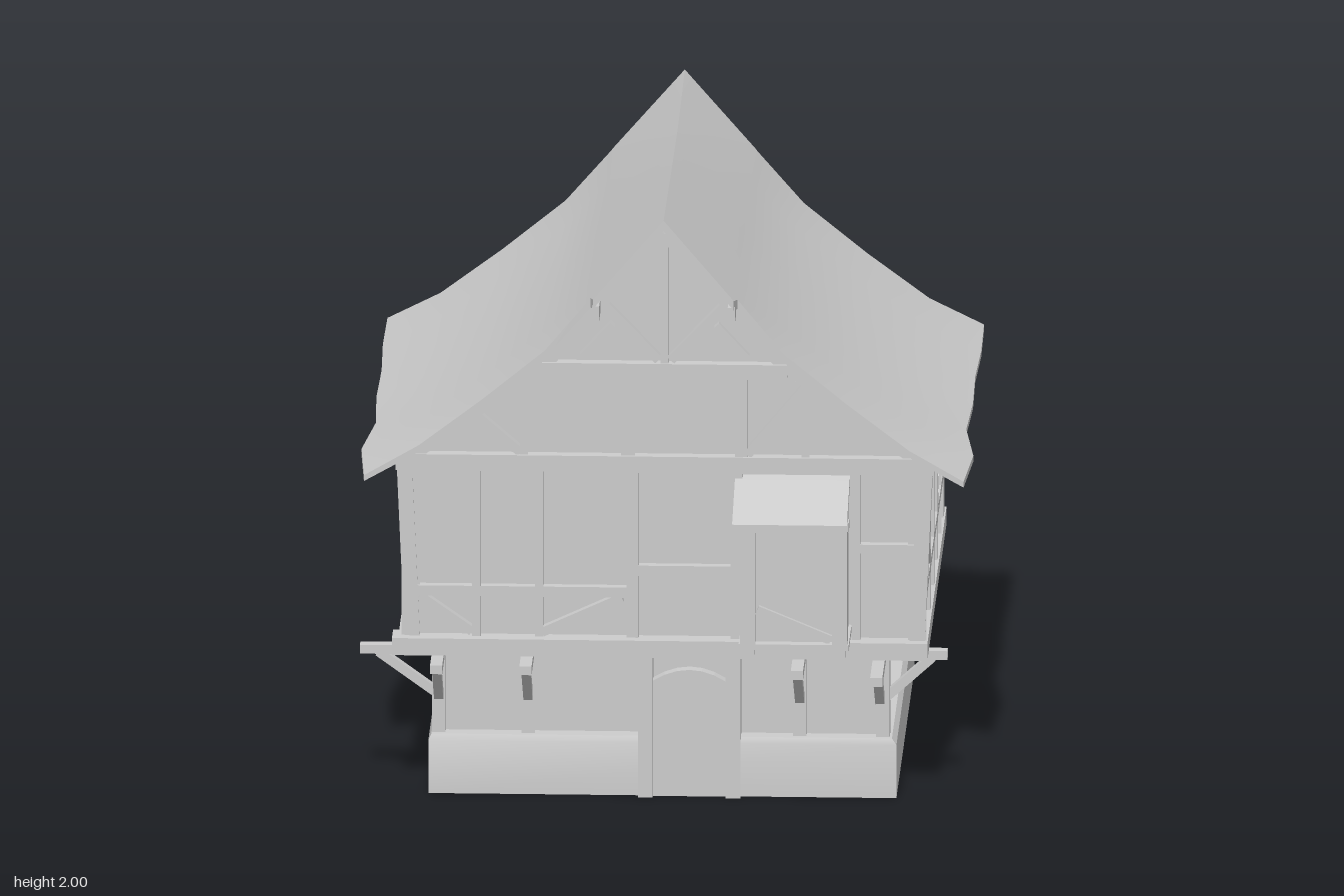
import * as THREE from 'three';
import { toCreasedNormals } from 'three/addons/utils/BufferGeometryUtils.js';

const plaster = new THREE.MeshStandardMaterial({ color: 0xcccccc, side: THREE.DoubleSide });
plaster.name = 'pale grey';

function add(parent, name, geometry) {
  const mesh = new THREE.Mesh(geometry, plaster);
  mesh.name = name;
  parent.add(mesh);
  return mesh;
}

function group(parent, name, x = 0, y = 0, z = 0, turn = 0) {
  const g = new THREE.Group();
  g.name = name;
  g.position.set(x, y, z);
  g.rotation.y = turn;
  parent.add(g);
  return g;
}

// Box given by its limits
function box(parent, name, x0, x1, y0, y1, z0, z1) {
  const mesh = add(parent, name, new THREE.BoxGeometry(x1 - x0, y1 - y0, z1 - z0));
  mesh.position.set((x0 + x1) / 2, (y0 + y1) / 2, (z0 + z1) / 2);
  return mesh;
}

// Timber between two points in the xy plane of its parent
function bar(parent, name, x0, y0, x1, y1, width = 0.03, depth = 0.06, z = 0) {
  const length = Math.hypot(x1 - x0, y1 - y0);
  const mesh = add(parent, name, new THREE.BoxGeometry(length, width, depth));
  mesh.position.set((x0 + x1) / 2, (y0 + y1) / 2, z);
  mesh.rotation.z = Math.atan2(y1 - y0, x1 - x0);
  return mesh;
}

// Open shell through stacked rectangles [x0, x1, z0, z1, y]
function shell(parent, name, rings) {
  const pos = [], index = [];
  for (const [x0, x1, z0, z1, y] of rings) pos.push(x0, y, z1, x1, y, z1, x1, y, z0, x0, y, z0);
  for (let r = 0; r < rings.length - 1; r++) for (let i = 0; i < 4; i++) {
    const a = r * 4 + i, b = r * 4 + (i + 1) % 4;
    index.push(a, b, b + 4, a, b + 4, a + 4);
  }
  const g = new THREE.BufferGeometry();
  g.setAttribute('position', new THREE.Float32BufferAttribute(pos, 3));
  g.setIndex(index);
  return add(parent, name, toCreasedNormals(g, 0.5));
}

// One curved roof slope: profile points are [x, y, front z, back z]
function roofSlope(parent, name, side) {
  const profile = [
    [0, 2, 0.84, -0.92], [0.23, 1.735, 0.86, -0.92], [0.24, 1.722, 0.80, -0.92],
    [0.39, 1.55, 0.83, -0.92], [0.6, 1.38, 0.832, -0.925], [0.81, 1.225, 0.835, -0.94], [1, 1.12, 0.83, -1],
  ];
  const sag = [0, 0.008, 0.018, 0.025, 0.03, 0.02, 0];
  const eave = [-0.02, 0, -0.035, -0.025, -0.03, -0.022, -0.025];
  const n = profile.length, ring = 2 * n, rows = sag.length, pos = [], index = [];
  const quad = (a, b, c, d) => side > 0 ? index.push(a, b, c, a, c, d) : index.push(a, c, b, a, d, c);
  for (let j = 0; j < rows; j++) for (let k = 0; k < ring; k++) {
    const under = k >= n, [x, y, zf, zb] = profile[under ? ring - 1 - k : k];
    const drop = under ? 0.035 - 0.015 * x : 0;
    pos.push(side * (x + eave[j] * x ** 4), y - sag[j] * (1 - x) - drop, THREE.MathUtils.lerp(zf, zb, j / (rows - 1)));
  }
  for (let j = 0; j < rows - 1; j++) for (let k = 0; k < ring; k++) {
    const a = j * ring + k, b = j * ring + (k + 1) % ring;
    quad(a, b, b + ring, a + ring);
    }
  const last = (rows - 1) * ring;
  for (let k = 0; k < n - 1; k++) {
    const o = ring - 1 - k;
    quad(k, o, o - 1, k + 1);
    quad(last + k, last + k + 1, last + o - 1, last + o);
  }
  let g = new THREE.BufferGeometry();
  g.setAttribute('position', new THREE.Float32BufferAttribute(pos, 3));
  g.setIndex(index);
  // Reverse the winding so the tiles face outward
  const ids = g.getIndex().array;
  for (let i = 0; i < ids.length; i += 3) [ids[i + 1], ids[i + 2]] = [ids[i + 2], ids[i + 1]];
  add(parent, name, toCreasedNormals(g, 0.6));
}

// Gable wall with the timber shared by front and back
function gable(parent, name, z, turn) {
  const g = group(parent, name, 0, 0, z, turn);
  const outline = [[-0.82, 0.5], [0.82, 0.5], [0.85, 1.14], [0.39, 1.5], [0, 1.95], [-0.39, 1.5], [-0.85, 1.14]];
  add(g, 'gableWall', new THREE.ShapeGeometry(new THREE.Shape(outline.map(p => new THREE.Vector2(...p)))));
  bar(g, 'tieBeam', -0.88, 1.147, 0.88, 1.147, 0.055, 0.08);
  bar(g, 'collarBeam', -0.4, 1.465, 0.4, 1.465, 0.05, 0.08);
  bar(g, 'kingPost', 0, 1.49, 0, 1.92, 0.026);
  for (const s of [-1, 1]) {
    bar(g, 'cornerPost', s * 0.825, 0.55, s * 0.85, 1.12, 0.05);
    bar(g, 'upperRafter', 0, 1.93, s * 0.39, 1.48, 0.04);
    bar(g, 'lowerRafter', s * 0.37, 1.5, s * 0.86, 1.14, 0.04);
    bar(g, 'gableBrace', s * 0.2, 1.69, s * 0.02, 1.5);
    bar(g, 'shortBrace', s * 0.27, 1.51, s * 0.17, 1.62, 0.02);
    bar(g, 'gablePost', s * 0.46, 1.17, s * 0.46, 1.43, 0.026);
  }
  bar(g, 'gablePost', -0.12, 1.17, -0.12, 1.44, 0.045);
  bar(g, 'gablePost', 0.25, 1.17, 0.25, 1.44, 0.04);
  bar(g, 'gableBrace', -0.62, 1.31, -0.47, 1.18);
  bar(g, 'gableBrace', 0.46, 1.41, 0.27, 1.18);
  for (const x of [-0.615, -0.41, -0.105, 0.235]) bar(g, 'wallPost', x, 0.55, x, 1.12, x > -0.2 ? 0.04 : 0.028);
  bar(g, 'wallRail', -0.82, 0.708, -0.12, 0.708, 0.035);
  bar(g, 'wallBrace', -0.8, 0.69, -0.63, 0.57);
  bar(g, 'wallBrace', -0.14, 0.69, -0.4, 0.57);
  bar(g, 'middleRail', -0.09, 0.783, 0.23, 0.783, 0.035);
  bar(g, 'wallPost', 0.625, 0.55, 0.625, 1.12, 0.028);
  bar(g, 'highRail', 0.62, 0.865, 0.83, 0.865);
  return g;
}

// Long wall; f maps model z to the wall's own direction
function sideWall(parent, name, x, turn, f) {
  const g = group(parent, name, x, 0, 0, turn);
  const plate = add(g, 'sideWallPanel', new THREE.PlaneGeometry(1.47, 0.66));
  plate.position.set(f * -0.01, 0.83, 0);
  for (const z of [0.73, 0.38, 0.09, -0.205, -0.51, -0.70, -0.75]) bar(g, 'wallPost', f * z, 0.55, f * z, 1.14, 0.034);
  bar(g, 'wallRail', f * 0.73, 0.705, f * -0.75, 0.705);
  bar(g, 'topPlate', f * 0.75, 1.14, f * -0.77, 1.14, 0.05);
  bar(g, 'wallBrace', f * 0.67, 1.06, f * 0.4, 0.72);
  bar(g, 'wallBrace', f * -0.5, 1.02, f * -0.22, 0.72);
}

// Cantilever arm with a slanted strut
function bracket(parent, x, z, turn, reach) {
  const g = group(parent, 'bracket', x, 0, z, turn);
  bar(g, 'arm', -0.03, 0.475, reach, 0.475, 0.03, 0.04);
  bar(g, 'strut', 0, 0.32, Math.min(reach - 0.05, 0.2), 0.465, 0.03, 0.03);
}

export function createModel() {
  const house = new THREE.Group();
  house.name = 'house';

  // Ground floor
  shell(house, 'foundation', [[-0.775, 0.755, -0.82, 0.69, 0], [-0.775, 0.755, -0.82, 0.69, 0.18],
    [-0.765, 0.74, -0.805, 0.68, 0.2], [-0.73, 0.7, -0.74, 0.63, 0.2]]);
  shell(house, 'lowerWall', [[-0.73, 0.7, -0.74, 0.63, 0.2], [-0.73, 0.7, -0.74, 0.63, 0.5], [-0.83, 0.83, -0.75, 0.73, 0.505]]);
  for (const x of [-0.742, -0.45, 0.438, 0.71]) box(house, 'lowerPost', x - 0.022, x + 0.022, 0.18, 0.5, 0.6, 0.665);
  for (const x of [-0.73, 0.7]) box(house, 'backPost', x - 0.03, x + 0.03, 0.18, 0.5, -0.79, -0.735);

  // Door with arched leaf
  for (const x of [-0.065, 0.222]) box(house, 'doorJamb', x - 0.024, x + 0.024, 0, 0.5, 0.62, 0.715);
  const leaf = new THREE.Shape();
  leaf.moveTo(-0.045, 0);
  leaf.lineTo(0.2, 0);
  leaf.lineTo(0.2, 0.39);
  leaf.quadraticCurveTo(0.08, 0.47, -0.045, 0.39);
  add(house, 'door', new THREE.ExtrudeGeometry(leaf, { depth: 0.04, bevelEnabled: false, curveSegments: 6 })).position.z = 0.655;

  // Brackets carrying the upper floor
  for (const [x, reach] of [[-0.742, 0.23], [-0.45, 0.23], [0.438, 0.25], [0.7, 0.32]]) bracket(house, x, 0.65, -Math.PI / 2, reach);
  bracket(house, 0.71, 0.63, 0, 0.21);
  bracket(house, -0.74, 0.63, Math.PI, 0.26);

  // Sill beams around the jetty
  box(house, 'frontSill', -0.89, 0.86, 0.497, 0.555, 0.69, 0.79);
  box(house, 'backSill', -0.86, 0.86, 0.497, 0.555, -0.81, -0.71);
  box(house, 'rightSill', 0.78, 0.86, 0.497, 0.555, -0.8, 0.77);
  box(house, 'leftSill', -0.87, -0.78, 0.497, 0.555, -0.8, 0.77);

  // Upper storey
  gable(house, 'frontGable', 0.725, 0);
  gable(house, 'backGable', -0.745, Math.PI);
  sideWall(house, 'rightWall', 0.825, Math.PI / 2, -1);
  sideWall(house, 'leftWall', -0.83, -Math.PI / 2, 1);

  // Bay window with a lean-to roof
  const bay = group(house, 'bay');
  for (const [a, b] of [[0.255, 0.305], [0.555, 0.605]]) {
    box(bay, 'bayPost', a, b, 0.59, 1.0, 0.92, 0.97);
    box(bay, 'bayFoot', a + 0.005, b - 0.005, 0.555, 0.59, 0.925, 0.97);
  }
  for (const x of [0.262, 0.59]) {
    const cheek = new THREE.Shape([[0.73, 0.59], [0.96, 0.59], [0.96, 1.0], [0.73, 1.09]].map(p => new THREE.Vector2(-p[0], p[1])));
    const panel = add(bay, 'bayCheek', new THREE.ExtrudeGeometry(cheek, { depth: 0.01, bevelEnabled: false }));
    panel.rotation.y = Math.PI / 2;
    panel.position.x = x;
  }
  box(bay, 'bayFloor', 0.25, 0.61, 0.58, 0.6, 0.73, 0.97);
  box(bay, 'bayLintel', 0.25, 0.61, 0.985, 1.015, 0.92, 0.97);
  box(bay, 'bayPanel', 0.3, 0.56, 0.6, 0.99, 0.925, 0.935);
  bar(bay, 'bayBrace', 0.31, 0.71, 0.55, 0.61, 0.03, 0.02, 0.94);
  const bayRoof = new THREE.Shape([[0.73, 1.108], [0.76, 1.1], [1.0, 1.015], [1.0, 0.988], [0.73, 1.08]].map(p => new THREE.Vector2(-p[0], p[1])));
  const lid = add(bay, 'bayRoof', new THREE.ExtrudeGeometry(bayRoof, { depth: 0.375, bevelEnabled: false }));
  lid.rotation.y = Math.PI / 2;
  lid.position.x = 0.23;

  // Roof and the purlin ends in its front notches
  for (const s of [-1, 1]) {
    roofSlope(house, s > 0 ? 'rightRoof' : 'leftRoof', s);
    box(house, 'purlinEnd', s * 0.222 - 0.012, s * 0.222 + 0.012, 1.66, 1.71, 0.72, 0.855);
  }
  return house;
}
